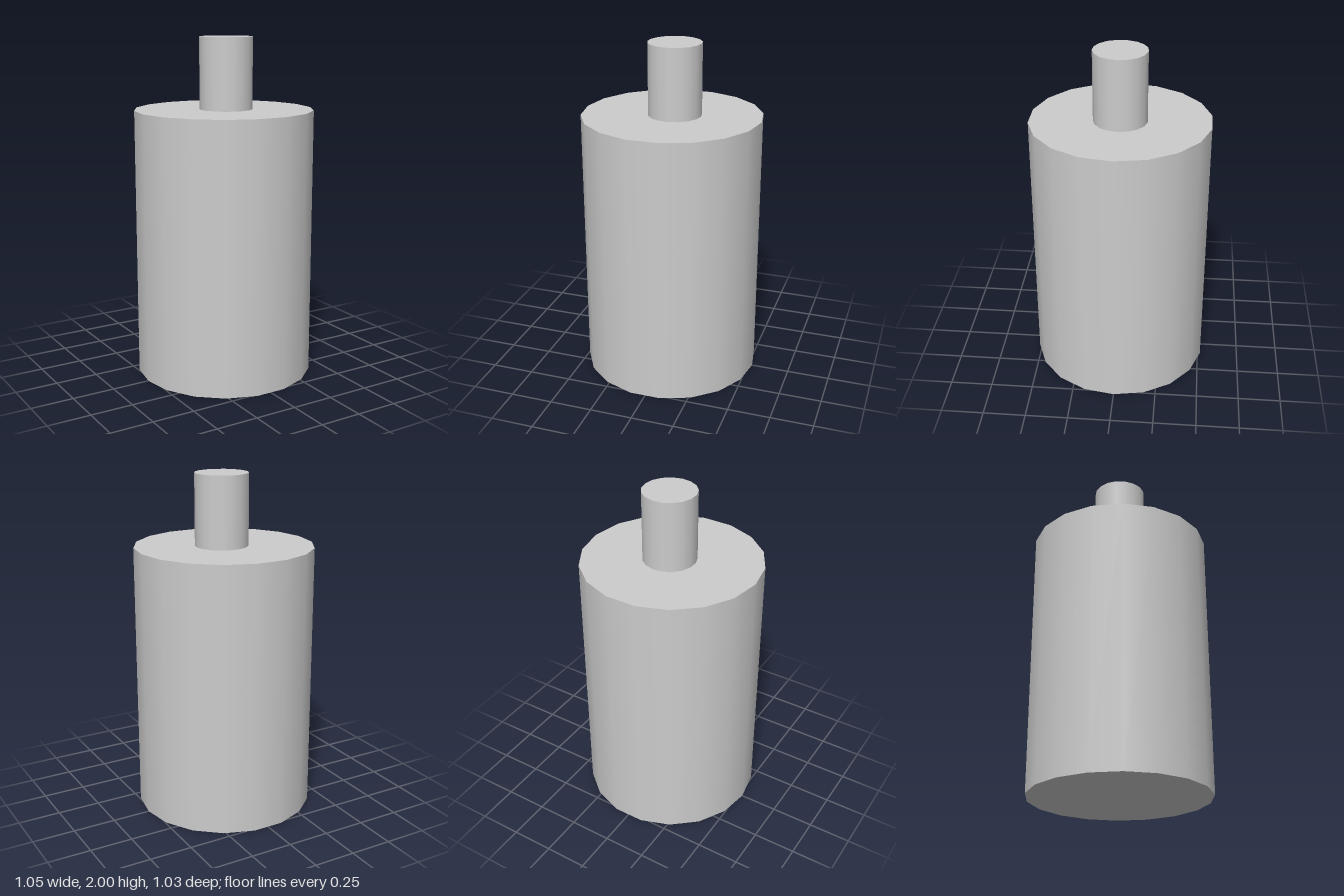
import * as THREE from 'three';

const material = new THREE.MeshStandardMaterial({ color: 0xcccccc });

// Upright capped cylinder between two heights, with one corner pointing to +x
function column(name, radius, sides, bottom, top, x = 0) {
  const geometry = new THREE.CylinderGeometry(
    radius, radius, top - bottom, sides, 1, false, Math.PI / 2);
  const mesh = new THREE.Mesh(geometry, material);
  mesh.name = name;
  mesh.position.set(x, (bottom + top) / 2, 0);
  return mesh;
}

export function createModel() {
  const model = new THREE.Group();
  model.name = 'bottle';

  // Wide body
  model.add(column('body', 0.525, 18, 0, 1.582));

  // Narrow neck, set slightly off centre
  model.add(column('neck', 0.156, 17, 1.582, 2, 0.016));

  return model;
}
